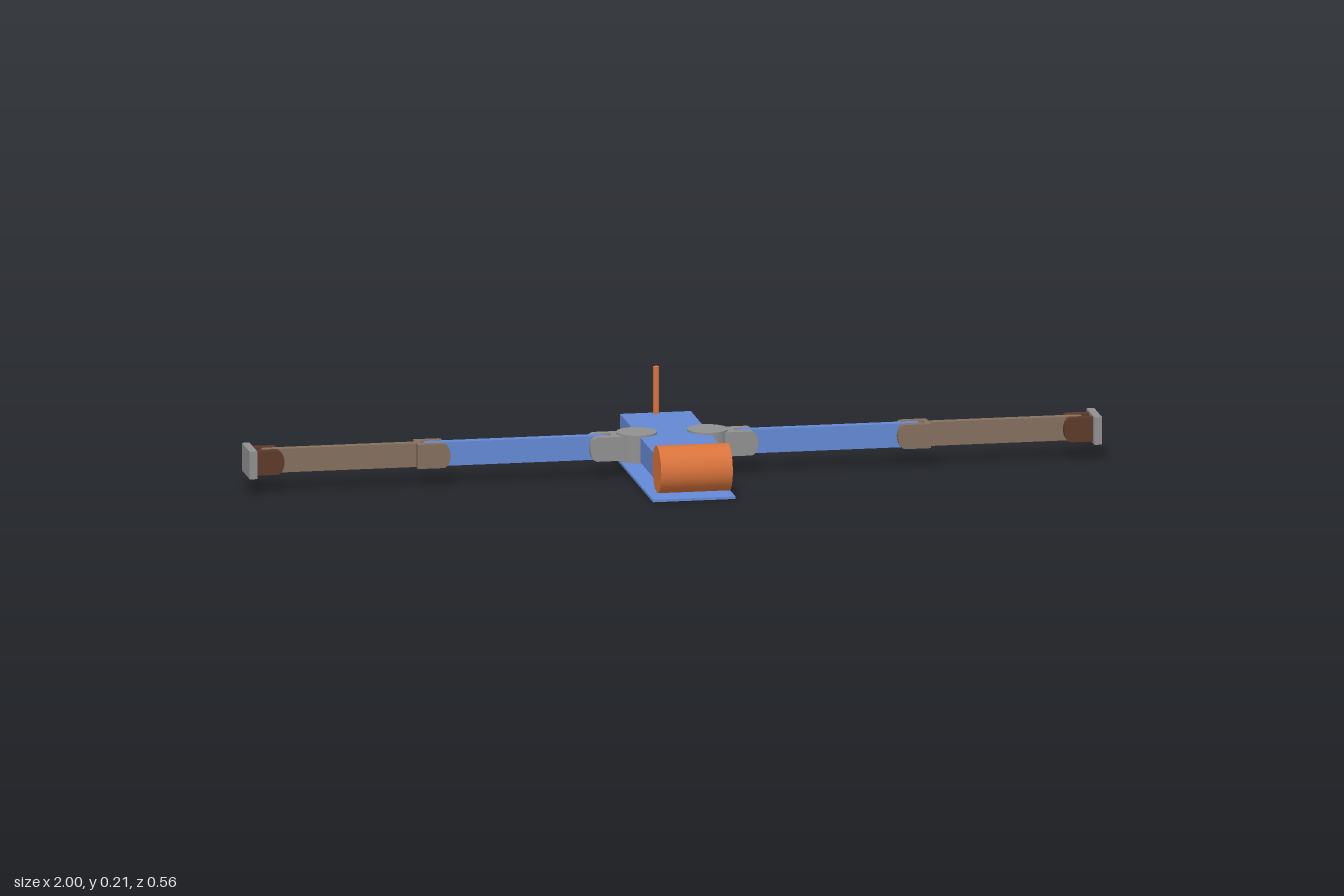
import * as THREE from 'three';

const mat = (color) => new THREE.MeshStandardMaterial({ color });
const blue = mat(0x6488d4), orange = mat(0xd8733c), brown = mat(0x84705f);
const darkBrown = mat(0x5e3a2a), grey = mat(0x909090);
const ARM_Y = 0.073, ARM_Z = -0.035;

function add(parent, name, geometry, material, x = 0, y = 0, z = 0) {
  const mesh = new THREE.Mesh(geometry, material);
  mesh.name = name;
  mesh.position.set(x, y, z);
  parent.add(mesh);
  return mesh;
}

const box = (w, h, d) => new THREE.BoxGeometry(w, h, d);

// Flat bar from x0 to x1, with a half-round (radius = half height) at chosen ends
function bar(x0, x1, height, depth, roundStart, roundEnd) {
  const r = height / 2, bulge = r * 0.6, s = new THREE.Shape();
  const a = roundStart ? x0 + bulge : x0, b = roundEnd ? x1 - bulge : x1;
  s.moveTo(a, -r);
  s.lineTo(b, -r);
  if (roundEnd) s.absellipse(b, 0, bulge, r, -Math.PI / 2, Math.PI / 2, false);
  else s.lineTo(b, r);
  s.lineTo(a, r);
  if (roundStart) s.absellipse(a, 0, bulge, r, Math.PI / 2, Math.PI * 1.5, false);
  const g = new THREE.ExtrudeGeometry(s, { depth, bevelEnabled: false, curveSegments: 12 });
  return g.translate(0, 0, -depth / 2);
}

// Pair of cheeks either side of an arm
function fork(parent, name, x0, x1, material, roundStart, roundEnd) {
  for (const side of [-1, 1]) {
    add(parent, name, bar(x0, x1, 0.057, 0.019, roundStart, roundEnd), material, 0, 0, side * 0.0215);
  }
}

// One arm, built outward along +x
function makeArm() {
  const arm = new THREE.Group();
  add(arm, 'shoulderPivot', new THREE.CylinderGeometry(0.047, 0.047, 0.065, 32), grey, 0.083);
  add(arm, 'shoulderBlock', box(0.04, 0.057, 0.062), grey, 0.125);
  fork(arm, 'shoulderFork', 0.12, 0.197, grey, false, true);
  add(arm, 'upperArm', bar(0.15, 0.59, 0.056, 0.022, true, true), blue);
  fork(arm, 'elbowFork', 0.525, 0.602, brown, true, false);
  add(arm, 'elbowBlock', box(0.012, 0.057, 0.062), brown, 0.596);
  add(arm, 'forearm', bar(0.59, 0.972, 0.056, 0.02, false, true), brown);
  fork(arm, 'wristFork', 0.915, 0.984, darkBrown, true, false);
  add(arm, 'endPlate', box(0.018, 0.065, 0.098), grey, 0.991);
  return arm;
}

export function createModel() {
  const model = new THREE.Group();
  model.name = 'twoArmedMachine';

  // Base plate, sloped skirt and plinth
  const baseZ = -0.0175, plinthZ = -0.033;
  add(model, 'basePlate', box(0.194, 0.006, 0.523), blue, 0, 0.003, baseZ);
  const skirt = box(0.194, 0.01, 0.523);
  const p = skirt.attributes.position;
  for (let i = 0; i < p.count; i++) {
    if (p.getY(i) > 0) {
      p.setX(i, Math.sign(p.getX(i)) * 0.05);
      p.setZ(i, Math.sign(p.getZ(i)) * 0.145 + plinthZ - baseZ);
    }
  }
  skirt.computeVertexNormals();
  add(model, 'baseSkirt', skirt, blue, 0, 0.011, baseZ);
  add(model, 'plinth', box(0.1, 0.029, 0.29), blue, 0, 0.0295, plinthZ);

  // Body, front drum and rear antenna
  add(model, 'body', box(0.166, 0.058, 0.468), blue, 0, 0.072, -0.009);
  const drum = add(model, 'frontDrum', new THREE.CylinderGeometry(0.055, 0.055, 0.168, 40), orange, 0, 0.073, 0.225);
  drum.rotation.z = Math.PI / 2;
  add(model, 'antenna', new THREE.CylinderGeometry(0.007, 0.007, 0.115, 16), orange, 0, 0.1545, -0.234);

  // Mirrored arms
  for (const [name, turn] of [['leftArm', 0], ['rightArm', Math.PI]]) {
    const arm = makeArm();
    arm.name = name;
    arm.position.set(0, ARM_Y, ARM_Z);
    arm.rotation.y = turn;
    model.add(arm);
  }
  return model;
}
